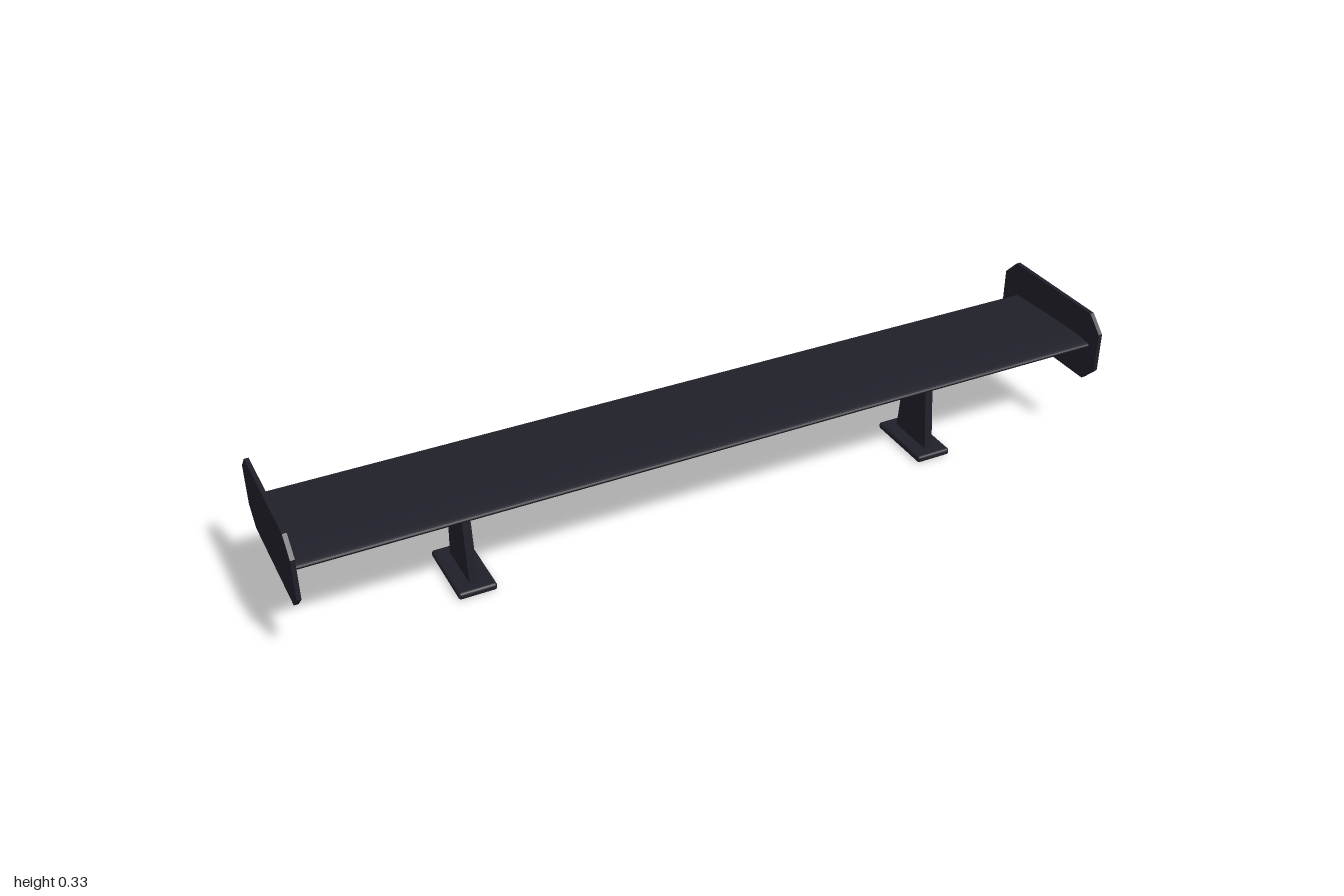
import * as THREE from 'three';
import { RoundedBoxGeometry } from 'three/addons/geometries/RoundedBoxGeometry.js';

// Extrudes a (z, y) outline along x, centred on x = 0
function sideExtrude(shape, width) {
  const geometry = new THREE.ExtrudeGeometry(shape, { depth: width, bevelEnabled: false, curveSegments: 10 });
  geometry.translate(0, 0, -width / 2);
  geometry.rotateY(-Math.PI / 2);
  return geometry;
}

function polygon(points) {
  return new THREE.Shape(points.map(([z, y]) => new THREE.Vector2(z, y)));
}

export function createModel() {
  const model = new THREE.Group();
  model.name = 'rearWing';
  const carbon = new THREE.MeshStandardMaterial({ color: 0x20202a });
  carbon.name = 'dark carbon';

  const add = (name, geometry, x = 0, y = 0, z = 0) => {
    const mesh = new THREE.Mesh(geometry, carbon);
    mesh.name = name;
    mesh.position.set(x, y, z);
    model.add(mesh);
  };

  // Main blade: nearly flat top, rounded nose, belly curving downwards
  const foil = new THREE.Shape();
  foil.moveTo(-0.135, 0.242);
  foil.bezierCurveTo(-0.07, 0.228, 0, 0.215, 0.06, 0.215);
  foil.bezierCurveTo(0.11, 0.215, 0.16, 0.235, 0.16, 0.246);
  foil.bezierCurveTo(0.16, 0.251, 0.135, 0.255, 0.1, 0.255);
  foil.bezierCurveTo(0.03, 0.255, -0.06, 0.251, -0.135, 0.246);
  foil.closePath();
  add('blade', sideExtrude(foil, 1.985));

  // End plate with clipped corners, and tapered post
  const plate = sideExtrude(polygon([
    [-0.15, 0.15], [0.15, 0.15], [0.19, 0.19], [0.19, 0.29],
    [0.15, 0.33], [-0.15, 0.33], [-0.19, 0.29], [-0.19, 0.19],
  ]), 0.01);
  const post = sideExtrude(polygon([
    [-0.049, 0.012], [0.08, 0.012], [0.056, 0.235], [-0.025, 0.235],
  ]), 0.02);
  const foot = new RoundedBoxGeometry(0.09, 0.017, 0.183, 2, 0.006);

  for (const [side, s] of [['left', 1], ['right', -1]]) {
    add(side + 'EndPlate', plate, s * 0.995);
    add(side + 'Post', post, s * 0.595);
    add(side + 'Foot', foot, s * 0.595, 0.0085, 0.015);
  }
  return model;
}
